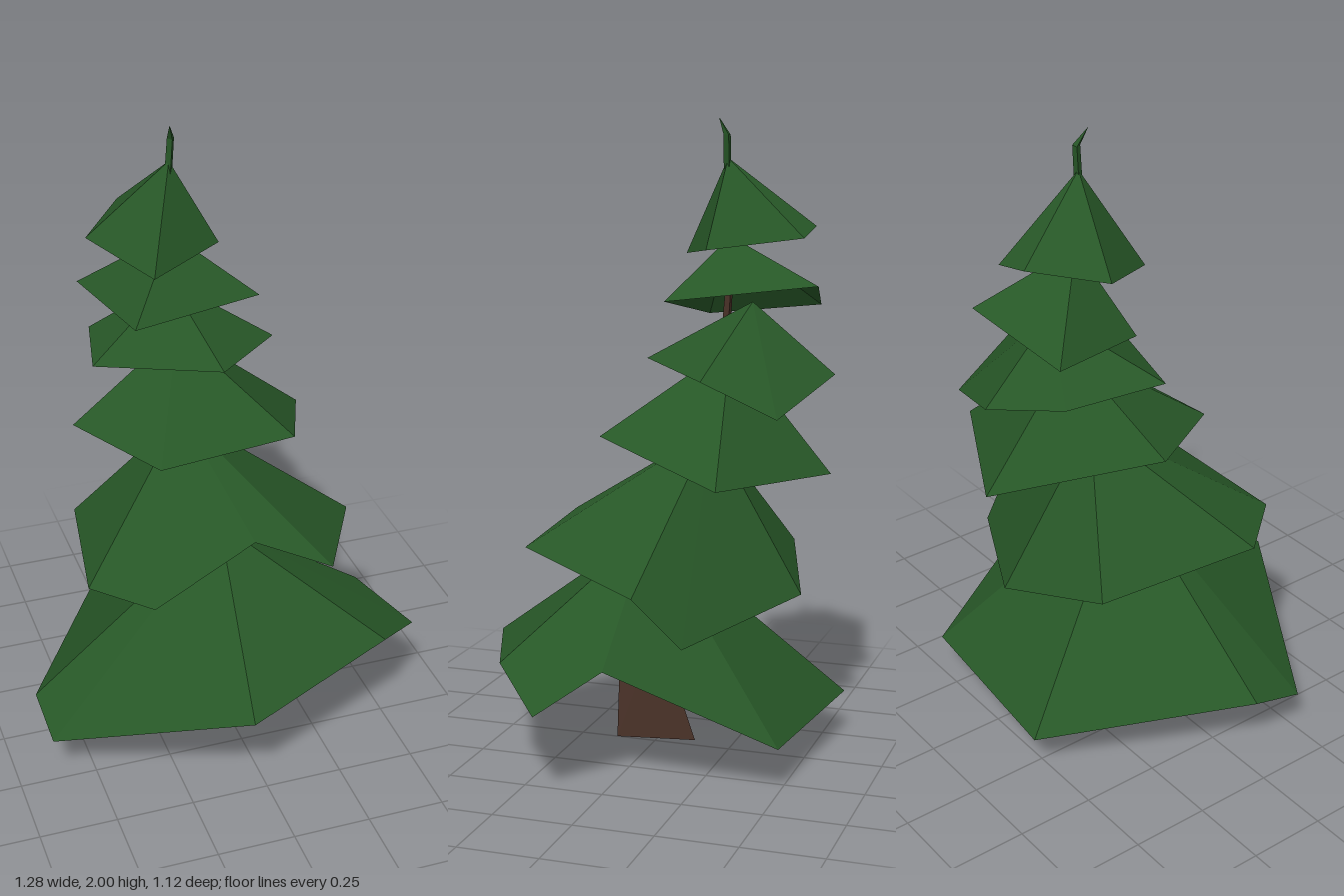
import * as THREE from 'three';

const needles = new THREE.MeshStandardMaterial({ color: 0x275727, side: THREE.DoubleSide, flatShading: true });
needles.name = 'needle green';
const bark = new THREE.MeshStandardMaterial({ color: 0x4a3228, side: THREE.DoubleSide, flatShading: true });
bark.name = 'bark brown';

// Flat-faced mesh from a list of triangles
function facetMesh(name, triangles, material) {
  const geometry = new THREE.BufferGeometry();
  geometry.setAttribute('position', new THREE.Float32BufferAttribute(triangles.flat(2), 3));
  geometry.computeVertexNormals();
  const mesh = new THREE.Mesh(geometry, material);
  mesh.name = name;
  return mesh;
}

// Hollow skirt of branches: an apex fanned out to an uneven rim
function skirt(apex, rim) {
  return rim.map((p, i) => [apex, p, rim[(i + 1) % rim.length]]);
}

// Skin between successive rings, listed from the bottom up
function loft(rings) {
  const triangles = [];
  for (let r = 0; r < rings.length - 1; r++) {
    const low = rings[r], high = rings[r + 1], n = low.length;
    for (let i = 0; i < n; i++) {
      const j = (i + 1) % n;
      triangles.push([low[i], low[j], high[j]], [low[i], high[j], high[i]]);
    }
  }
  return triangles;
}

// Small three-sided ring around a centre
function ring(x, y, z, radius) {
  return [0, 1, 2].map((i) => {
    const a = (i * Math.PI * 2) / 3;
    return [x + Math.sin(a) * radius, y, z + Math.cos(a) * radius];
  });
}

// Branch tiers, bottom to top; rims run front, left, back, right
const tiers = [
  { apex: [0, 0.71, 0.02], rim: [
    [-0.065, 0.31, 0.56], [0.46, 0.365, 0.345], [0.64, 0.27, 0.165], [0.495, 0.38, 0],
    [0.33, 0.14, -0.5], [-0.3, 0.135, -0.56], [-0.645, 0.2, 0.055], [-0.635, 0.145, 0.24]] },
  { apex: [-0.07, 1.03, -0.165], rim: [
    [-0.32, 0.665, 0.355], [0.04, 0.77, 0.25], [0.27, 0.685, 0.335], [0.49, 0.61, -0.09],
    [0.44, 0.455, -0.23], [-0.03, 0.525, -0.475], [-0.39, 0.615, -0.36], [-0.48, 0.655, 0.165]] },
  { apex: [-0.06, 1.3, -0.23], rim: [
    [-0.235, 1.03, 0.155], [0.22, 1.04, 0.105], [0.385, 0.925, -0.315],
    [-0.07, 0.91, -0.555], [-0.43, 1.06, -0.155]] },
  { apex: [-0.06, 1.44, -0.3], rim: [
    [0.015, 1.26, 0.02], [0.265, 1.23, -0.23], [0.22, 1.12, -0.455],
    [-0.09, 1.22, -0.558], [-0.3, 1.26, -0.42], [-0.37, 1.28, -0.11]] },
  { apex: [-0.08, 1.64, -0.22], rim: [
    [-0.23, 1.38, -0.11], [0.165, 1.455, -0.085], [0.01, 1.5, -0.525], [-0.325, 1.41, -0.455]] },
  { apex: [-0.085, 1.88, -0.21], rim: [
    [-0.185, 1.575, -0.045], [0.065, 1.605, -0.185], [-0.045, 1.64, -0.465],
    [-0.18, 1.67, -0.47], [-0.335, 1.635, -0.28]] },
];

export function createModel() {
  const group = new THREE.Group();
  group.name = 'pineTree';

  tiers.forEach(({ apex, rim }, i) => {
    group.add(facetMesh(`branchTier${i + 1}`, skirt(apex, rim), needles));
  });

  // Blade-like trunk foot tapering into a thin leaning stem
  const foot = [[0, 0, 0.13], [-0.005, 0.015, -0.135], [-0.02, 0.01, 0.02]];
  const waist = [[-0.02, 0.35, 0.125], [-0.01, 0.38, -0.005], [-0.09, 0.35, 0.06]];
  const trunk = loft([foot, waist, ring(-0.04, 0.72, -0.06, 0.025),
    ring(-0.06, 1.1, -0.2, 0.02), ring(-0.07, 1.6, -0.23, 0.012)]);
  trunk.push([foot[0], foot[2], foot[1]]);
  group.add(facetMesh('trunk', trunk, bark));

  // Bent shoot at the top
  const shoot = loft([ring(-0.085, 1.84, -0.21, 0.014), ring(-0.077, 1.95, -0.21, 0.013),
    ring(-0.09, 2, -0.18, 0.001)]);
  group.add(facetMesh('topShoot', shoot, needles));

  return group;
}
